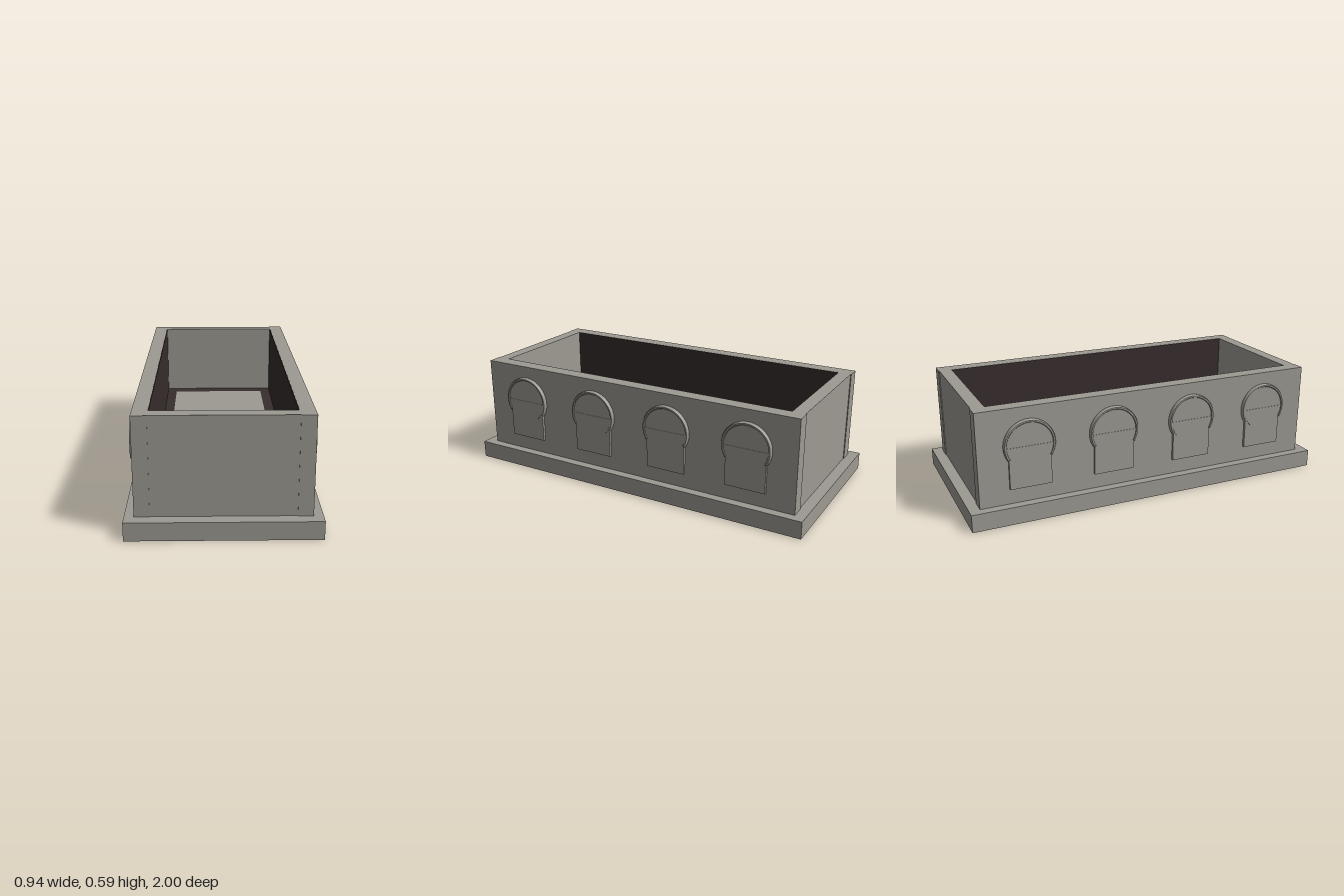
import * as THREE from 'three';

export function createModel() {
  const stone = new THREE.MeshStandardMaterial({ color: 0x9c9a92 });
  stone.name = 'stone';
  const dark = new THREE.MeshStandardMaterial({ color: 0x372d2d });
  dark.name = 'darkLining';

  const model = new THREE.Group();
  model.name = 'stoneTrough';

  const add = (parent, name, geometry, material, x = 0, y = 0, z = 0) => {
    const mesh = new THREE.Mesh(geometry, material);
    mesh.name = name;
    mesh.position.set(x, y, z);
    parent.add(mesh);
    return mesh;
  };
  // Box given by its lower and upper corners
  const block = (parent, name, material, [x0, y0, z0], [x1, y1, z1]) =>
    add(parent, name, new THREE.BoxGeometry(x1 - x0, y1 - y0, z1 - z0), material,
      (x0 + x1) / 2, (y0 + y1) / 2, (z0 + z1) / 2);

  const baseTop = 0.094, rim = 0.595, inner = 0.348, outer = 0.423;

  // Plinth, dark floor and raised slab inside
  block(model, 'plinth', stone, [-0.47, 0, -1], [0.47, baseTop, 1]);
  block(model, 'floor', dark, [-inner, baseTop, -0.87], [inner, 0.18, 0.87]);
  block(model, 'innerSlab', stone, [-0.286, 0.18, -0.71], [0.28, 0.21, 0.61]);

  // End walls, set slightly back between the side walls
  block(model, 'frontWall', stone, [-inner, baseTop, 0.868], [inner, rim, 0.936]);
  block(model, 'backWall', stone, [-inner, baseTop, -0.941], [inner, rim, -0.873]);

  // Hood: an arched band over each roundel, bevelled on its outer edge
  const hoodShape = new THREE.Shape();
  const start = -Math.PI / 6, end = Math.PI * 7 / 6;
  hoodShape.absarc(0, 0, 0.13, start, end, false);
  hoodShape.absarc(0, 0, 0.122, end, start, true);
  hoodShape.closePath();
  const hoodGeometry = new THREE.ExtrudeGeometry(hoodShape, {
    depth: 0.014, curveSegments: 28, bevelEnabled: true,
    bevelThickness: 0.008, bevelSize: 0.004, bevelSegments: 1,
  });

  // Half disc facing +z, flat edge horizontal
  const halfDisc = (from) => {
    const shape = new THREE.Shape();
    shape.absarc(0, 0, 0.12, from, from + Math.PI, false);
    shape.closePath();
    return new THREE.ExtrudeGeometry(shape, { depth: 0.018, curveSegments: 20, bevelEnabled: false });
  };
  const upperDisc = halfDisc(0), lowerDisc = halfDisc(Math.PI);
  const tabletGeometry = new THREE.BoxGeometry(0.22, 0.225, 0.014);

  for (const side of [1, -1]) {
    const label = side > 0 ? 'left' : 'right';
    const wall = add(model, label + 'Wall',
      new THREE.BoxGeometry(outer - inner, rim - baseTop, 1.885), stone,
      side * (inner + outer) / 2, (rim + baseTop) / 2, -0.003);
    wall.updateMatrix();

    // Dark inner face of the side wall
    block(model, label + 'Lining', dark,
      [side * (inner - 0.002) - 0.002, 0.18, -0.873],
      [side * (inner - 0.002) + 0.002, rim - 0.001, 0.868]);

    // Four relief roundels on each long side
    for (const z of [-0.68, -0.227, 0.227, 0.68]) {
      const relief = new THREE.Group();
      relief.name = label + 'Roundel';
      relief.position.set(side * outer, 0.395, z);
      relief.rotation.y = side * Math.PI / 2;
      add(relief, 'tablet', tabletGeometry, stone, 0, -0.1075, 0.007);
      add(relief, 'upperDisc', upperDisc, stone, 0, 0, -0.003);
      add(relief, 'lowerDisc', lowerDisc, stone, 0, 0, -0.001);
      add(relief, 'hood', hoodGeometry, stone, 0, 0.002, -0.001);
      model.add(relief);
    }
  }
  return model;
}
